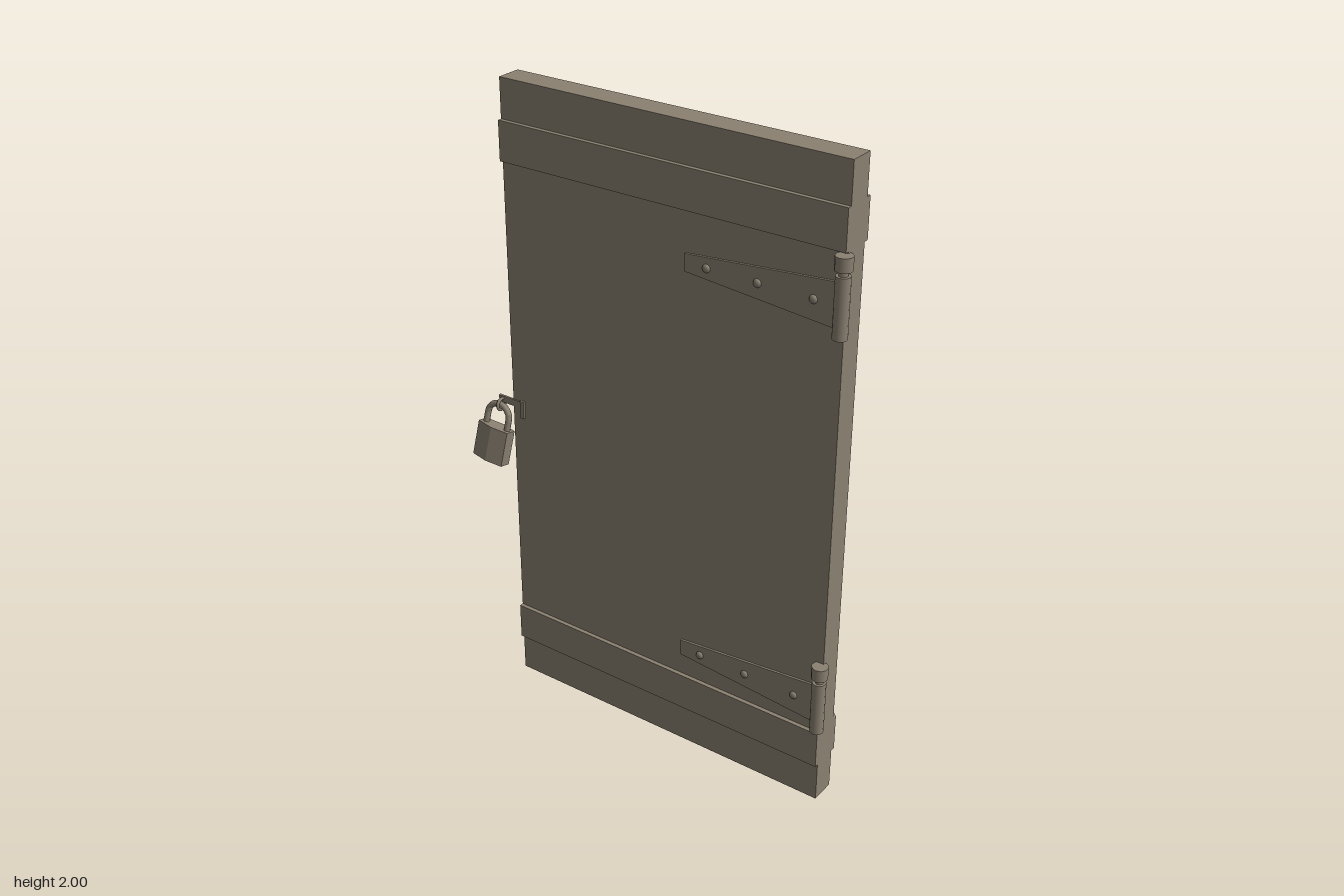
import * as THREE from 'three';

const wood = new THREE.MeshStandardMaterial({ color: 0x8b8172 });
wood.name = 'weathered taupe';

function add(parent, name, geometry, x = 0, y = 0, z = 0) {
  const mesh = new THREE.Mesh(geometry, wood);
  mesh.name = name;
  mesh.position.set(x, y, z);
  parent.add(mesh);
  return mesh;
}

// Box given by its lower and upper corners
function box(parent, name, [x0, y0, z0], [x1, y1, z1]) {
  return add(parent, name, new THREE.BoxGeometry(x1 - x0, y1 - y0, z1 - z0),
    (x0 + x1) / 2, (y0 + y1) / 2, (z0 + z1) / 2);
}

// Flat polygon extruded along +z
function slab(points, depth) {
  const shape = new THREE.Shape(points.map(([x, y]) => new THREE.Vector2(x, y)));
  return new THREE.ExtrudeGeometry(shape, { depth, bevelEnabled: false });
}

function createHinge(y) {
  const hinge = new THREE.Group();
  hinge.name = 'hinge';
  hinge.position.y = y;
  // Tapered strap with three rivets
  add(hinge, 'hingeStrap', slab([[0.11, -0.026], [0.59, -0.066], [0.59, 0.066], [0.11, 0.026]], 0.009), 0, 0, 0.002);
  for (const x of [0.18, 0.34, 0.51]) {
    const rivet = add(hinge, 'rivet', new THREE.SphereGeometry(0.013, 10, 8), x, 0, 0.01);
    rivet.scale.z = 0.7;
  }
  // Barrel, pin and pin head
  add(hinge, 'hingeBarrel', new THREE.CylinderGeometry(0.021, 0.021, 0.175, 12), 0.597, 0.0025, 0.018);
  add(hinge, 'hingePin', new THREE.CylinderGeometry(0.013, 0.013, 0.03, 10), 0.597, 0.1, 0.018);
  add(hinge, 'hingePinHead', new THREE.CylinderGeometry(0.025, 0.025, 0.04, 10), 0.597, 0.125, 0.018);
  return hinge;
}

function createPadlock() {
  const padlock = new THREE.Group();
  padlock.name = 'padlock';
  padlock.position.set(-0.56, 0.975, 0.02);
  padlock.rotation.set(-0.21, 0, -0.09);
  // Body: six-sided section extruded downwards
  const body = slab([[-0.057, -0.018], [0, -0.028], [0.057, -0.018], [0.057, 0.018], [0, 0.028], [-0.057, 0.018]], 0.112);
  body.rotateX(Math.PI / 2);
  add(padlock, 'padlockBody', body, 0, -0.07, 0);
  // Shackle: two legs joined by an arch
  const path = new THREE.CurvePath();
  const v = (x, y) => new THREE.Vector3(x, y, 0);
  const points = [v(-0.041, -0.08), v(-0.041, -0.04)];
  for (let i = 0; i <= 8; i++) {
    const a = Math.PI * (1 - i / 8);
    points.push(v(0.041 * Math.cos(a), -0.035 + 0.037 * Math.sin(a)));
  }
  points.push(v(0.041, -0.04), v(0.041, -0.08));
  for (let i = 1; i < points.length; i++) path.add(new THREE.LineCurve3(points[i - 1], points[i]));
  add(padlock, 'shackle', new THREE.TubeGeometry(path, 36, 0.01, 8));
  return padlock;
}

export function createModel() {
  const door = new THREE.Group();
  door.name = 'door';

  // Main panel
  box(door, 'doorPanel', [-0.52, 0, -0.075], [0.6, 2, 0.004]);

  // Horizontal battens on both faces
  for (const y of [0.13, 1.76]) {
    box(door, 'frontBatten', [-0.52, y, 0.003], [0.6, y + 0.12, 0.017]);
    box(door, 'backBatten', [-0.52, y, -0.09], [0.6, y + 0.12, -0.074]);
  }

  // Diagonal brace on the back
  add(door, 'backBrace', slab([[0.47, 0.25], [0.6, 0.25], [-0.39, 1.76], [-0.52, 1.76]], 0.015), 0, 0, -0.089);

  for (const y of [0.35, 1.61]) door.add(createHinge(y));

  // Hasp with its end plate and staple ring
  box(door, 'haspPlate', [-0.575, 0.978, 0], [-0.478, 1.0, 0.007]);
  box(door, 'haspEnd', [-0.49, 0.947, 0.003], [-0.476, 1.005, 0.011]);
  const staple = add(door, 'staple', new THREE.TorusGeometry(0.018, 0.005, 6, 14), -0.56, 0.975, 0.015);
  staple.rotation.y = Math.PI / 2;

  door.add(createPadlock());
  return door;
}
